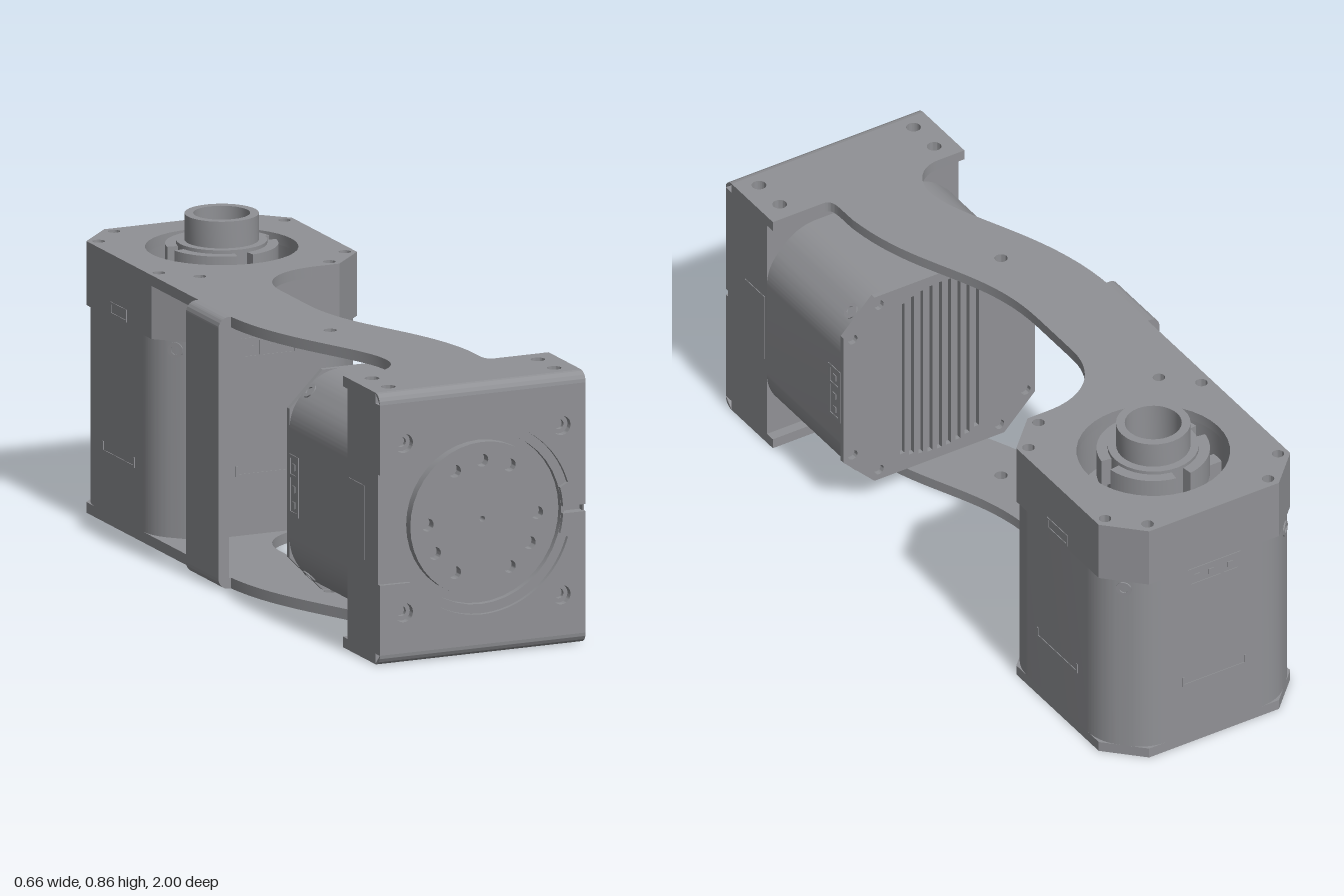
import * as THREE from 'three';
import { toCreasedNormals } from 'three/addons/utils/BufferGeometryUtils.js';

const CX = 0.017, CY = 0.3825, RZ = -0.69; // motor axis x, front axis height, rear axis z
const L = CX - 0.31, R = CX + 0.31; // left and right edges of the housing in x
const grey = new THREE.MeshStandardMaterial({ color: 0x909195 });
grey.name = 'metal grey';

function add(parent, name, geo, x = 0, y = 0, z = 0) {
  const m = new THREE.Mesh(geo, grey);
  m.name = name;
  m.position.set(x, y, z);
  parent.add(m);
  return m;
}
const box = (parent, name, w, h, d, x, y, z) => add(parent, name, new THREE.BoxGeometry(w, h, d), x, y, z);

const poly = (pts) => new THREE.Shape(pts.map(([x, y]) => new THREE.Vector2(x, y)));
const circle = (x, y, r) => new THREE.Shape().absarc(x, y, r, 0, Math.PI * 2, false);
const rect = (x0, y0, x1, y1) => poly([[x0, y0], [x1, y0], [x1, y1], [x0, y1]]);

// Square with cut corners; round > 0 softens each of the eight corners
function octagon(cx, cy, round = 0) {
  const h = 0.31, k = 0.21;
  const pts = [[k, -h], [h, -k], [h, k], [k, h], [-k, h], [-h, k], [-h, -k], [-k, -h]]
    .map(([x, y]) => new THREE.Vector2(x + cx, y + cy));
  if (!round) return new THREE.Shape(pts);
  const s = new THREE.Shape();
  pts.forEach((p, i) => {
    const towards = (q) => p.clone().add(q.clone().sub(p).setLength(round));
    const a = towards(pts[(i + 7) % 8]), b = towards(pts[(i + 1) % 8]);
    if (i === 0) s.moveTo(a.x, a.y);
    else s.lineTo(a.x, a.y);
    s.quadraticCurveTo(p.x, p.y, b.x, b.y);
  });
  return s;
}
function arcBand(r0, r1, a0, a1) {
  const s = new THREE.Shape();
  s.absarc(0, 0, r1, a0, a1, false);
  s.absarc(0, 0, r0, a1, a0, true);
  return s;
}
function withHoles(shape, holes) {
  shape.holes.push(...holes);
  return shape;
}
// Extrude towards +z, or upwards when flat (shape y then means -z)
function extrude(shape, depth, flat = false) {
  const g = new THREE.ExtrudeGeometry(shape, { depth, bevelEnabled: false, curveSegments: 20 });
  if (flat) g.rotateX(-Math.PI / 2);
  return toCreasedNormals(g, 0.5);
}

// Curved link plate with a round opening over the rear motor
function linkPlate(openingRadius) {
  const s = new THREE.Shape();
  s.moveTo(CX - 0.21, 1);
  s.lineTo(L, 0.9);
  s.lineTo(L, -0.02);
  s.bezierCurveTo(-0.283, -0.32, -0.11, -0.5, -0.11, -0.65);
  s.bezierCurveTo(-0.11, -0.71, -0.15, -0.76, -0.21, -0.76);
  s.lineTo(L, -0.76);
  s.lineTo(L, -0.97);
  s.lineTo(R, -0.97);
  s.lineTo(R, -0.76);
  s.lineTo(0.165, -0.76);
  s.bezierCurveTo(0.13, -0.76, 0.14, -0.72, 0.137, -0.65);
  s.bezierCurveTo(0.11, -0.37, -0.045, -0.27, -0.045, 0);
  s.lineTo(-0.045, 0.18);
  s.bezierCurveTo(-0.045, 0.3, 0.04, 0.38, 0.16, 0.38);
  s.lineTo(CX + 0.21, 0.38);
  s.lineTo(R, 0.48);
  s.lineTo(R, 0.9);
  s.lineTo(CX + 0.21, 1);
  const holes = [circle(CX, -RZ, openingRadius), circle(-0.11, -0.285, 0.018)];
  for (const side of [-1, 1]) {
    for (const z of [0.82, 0.925]) holes.push(circle(CX + side * 0.25, -z, 0.02));
    for (const end of [-1, 1]) {
      holes.push(circle(CX + side * 0.195, -RZ + end * 0.278, 0.017));
      holes.push(circle(CX + side * 0.28, -RZ + end * 0.195, 0.017));
    }
  }
  return extrude(withHoles(s, holes), 0.03, true);
}

// Output disc with screw holes at the given multiples of 30 degrees
function hornDisc(steps, depth) {
  const holes = steps.map((i) => circle(0.165 * Math.cos(i * Math.PI / 6), 0.165 * Math.sin(i * Math.PI / 6), 0.018));
  return extrude(withHoles(circle(0, 0, 0.217), [...holes, circle(0, 0, 0.008)]), depth);
}

// Motor along +z, its finned back at z = 0
function motor(name, length) {
  const g = new THREE.Group();
  g.name = name;
  add(g, 'motorBody', extrude(octagon(0, 0, 0.06), length - 0.015), 0, 0, 0.015);
  const slots = [];
  for (let i = -4; i <= 4; i++) {
    const x = i * 0.03, h = Math.sqrt(0.28 ** 2 - x * x);
    slots.push(rect(x - 0.008, -h, x + 0.008, h));
  }
  for (const sx of [-1, 1]) for (const sy of [-1, 1]) {
    slots.push(circle(sx * 0.195, sy * 0.278, 0.015), circle(sx * 0.28, sy * 0.195, 0.015));
  }
  add(g, 'finnedBack', extrude(withHoles(octagon(0, 0), slots), 0.015));
  for (const s of [-1, 1]) {
    // side connector: frame with a few pins
    const openings = [rect(-0.021, -0.075, 0.021, 0.02), rect(-0.021, 0.03, 0.021, 0.075)];
    const frame = extrude(withHoles(rect(-0.03, -0.085, 0.03, 0.085), openings), 0.002);
    add(g, 'connectorFrame', frame, s * 0.31 - (s < 0 ? 0.002 : 0), 0, 0.045).rotation.y = Math.PI / 2;
    for (const y of [-0.055, -0.01, 0.052]) box(g, 'connectorPin', 0.004, 0.018, 0.016, s * 0.31, y, 0.045);
    // screw collars on the cut corners
    for (const t of [-1, 1]) {
      const ring = extrude(withHoles(circle(0, 0, 0.022), [circle(0, 0, 0.012)]), 0.004);
      add(g, 'screwCollar', ring, s * 0.26, t * 0.26, 0.04).lookAt(s * 10, t * 10, 0.04);
    }
  }
  // thin finger ledges low on the long motor
  if (length > 0.45) for (let i = 0; i < 4; i++) {
    const side = new THREE.Group();
    side.name = 'ledge';
    side.rotation.z = i * Math.PI / 2;
    box(side, 'ledgeLine', 0.004, 0.2, 0.007, 0.31, 0, 0.4);
    for (const y of [-0.1, 0.1]) box(side, 'ledgeEnd', 0.004, 0.007, 0.03, 0.31, y, 0.388);
    g.add(side);
  }
  return g;
}

// Half of the raised front face (s = 1 lower, -1 upper), stepped around the disc
function raisedFace(s) {
  const y = (d) => CY + s * d;
  const f = new THREE.Shape();
  f.moveTo(L, y(-0.3525));
  f.lineTo(R, y(-0.3525));
  f.lineTo(R, y(-0.01));
  f.absarc(CX, CY, 0.242, s * -0.041, s * -0.27, s > 0);
  f.absarc(CX, CY, 0.268, s * -0.29, s * -2.52, s > 0);
  f.lineTo(L, y(-0.155));
  return withHoles(f, [-1, 1].map((t) => circle(CX + t * 0.2375, y(-0.2385), 0.027)));
}

export function createModel() {
  const model = new THREE.Group();
  model.name = 'servoLink';

  // Top and bottom plates
  add(model, 'topPlate', linkPlate(0.21), 0, 0.735, 0);
  add(model, 'bottomPlate', linkPlate(0.238), 0, 0, 0);

  // Side bar folded around from plate to plate
  const bar = new THREE.Shape();
  bar.moveTo(-0.29, 0);
  bar.lineTo(-0.29, 0.03);
  bar.lineTo(-0.298, 0.03);
  bar.lineTo(-0.298, 0.735);
  bar.lineTo(-0.29, 0.735);
  bar.lineTo(-0.29, 0.765);
  bar.absarc(-0.3, 0.735, 0.03, Math.PI / 2, Math.PI, false);
  bar.absarc(-0.3, 0.03, 0.03, Math.PI, Math.PI * 1.5, false);
  add(model, 'sideBar', extrude(bar, 0.21), 0, 0, -0.175);

  // Front housing: block, recessed face, raised face halves, rounded edges
  box(model, 'frontBlock', 0.62, 0.705, 0.18, CX, CY, 0.88);
  const faceHoles = [circle(CX, CY, 0.242), rect(0.268, CY - 0.01, R - 0.004, CY + 0.01)];
  for (const s of [-1, 1]) for (const t of [-1, 1]) faceHoles.push(circle(CX + s * 0.2375, CY + t * 0.2385, 0.027));
  add(model, 'recessedFace', extrude(withHoles(rect(L, 0.03, R, 0.735), faceHoles), 0.018), 0, 0, 0.97);
  for (const s of [-1, 1]) {
    add(model, 'raisedFace', extrude(raisedFace(s), 0.012), 0, 0, 0.988);
    const edge = new THREE.Shape();
    edge.moveTo(0, 0);
    edge.absarc(0, 0, 0.03, s > 0 ? 0 : -Math.PI / 2, s > 0 ? Math.PI / 2 : 0, false);
    add(model, 'roundedEdge', extrude(edge, 0.62), R, CY + s * 0.3525, 0.97).rotation.y = -Math.PI / 2;
    // clip plate on each cheek, and screw seats in the face
    box(model, 'cheekClip', 0.004, 0.21, 0.1, CX + s * 0.31, CY, 0.85);
    for (const t of [-1, 1]) {
      const seat = extrude(withHoles(circle(0, 0, 0.026), [circle(0, 0, 0.014)]), 0.012);
      add(model, 'screwSeat', seat, CX + s * 0.2375, CY + t * 0.2385, 0.97);
    }
  }
  add(model, 'frontDisc', hornDisc([0, 2, 3, 4, 6, 7, 8, 10, 11], 0.027), CX, CY, 0.97);

  // Front motor
  const front = motor('frontMotor', 0.39);
  front.position.set(CX, CY, 0.4);
  model.add(front);

  // Rear motor, upright, with its disc at the bottom
  const rear = motor('rearMotor', 0.57);
  rear.position.set(CX, 0.6, RZ);
  rear.rotation.set(Math.PI / 2, 0, Math.PI / 2);
  model.add(rear);
  const allSteps = Array.from({ length: 12 }, (_, i) => i);
  add(model, 'rearDisc', hornDisc(allSteps, 0.028), CX, 0.03, RZ).rotation.x = Math.PI / 2;

  // Hollow cap between the rear motor and the top plate
  add(model, 'rearCap', extrude(withHoles(octagon(CX, -RZ), [circle(CX, -RZ, 0.21)]), 0.135, true), 0, 0.6, 0);
  for (const s of [-1, 1]) {
    const slot = extrude(withHoles(rect(-0.052, -0.018, 0.052, 0.018), [rect(-0.046, -0.012, 0.046, 0.012)]), 0.002);
    add(model, 'capSlot', slot, CX + s * 0.31 - (s < 0 ? 0.002 : 0), 0.613, RZ).rotation.y = Math.PI / 2;
  }

  // Hollow shaft with a notched collar and low spokes
  const profile = [[0.078, 0.6], [0.125, 0.6], [0.125, 0.785], [0.102, 0.785], [0.102, 0.86], [0.078, 0.86], [0.078, 0.6]];
  const shaft = new THREE.LatheGeometry(profile.map(([r, y]) => new THREE.Vector2(r, y)), 32);
  add(model, 'hollowShaft', toCreasedNormals(shaft, 0.5), CX, 0, RZ);
  for (let i = 0; i < 4; i++) {
    const a = i * Math.PI / 2;
    add(model, 'collarSegment', extrude(arcBand(0.12, 0.155, a + 0.15, a + Math.PI / 2 - 0.15), 0.085, true), CX, 0.69, RZ);
    const spoke = box(model, 'spoke', 0.09, 0.06, 0.04, CX + 0.165 * Math.cos(a), 0.63, RZ + 0.165 * Math.sin(a));
    spoke.rotation.y = -a;
  }
  return model;
}
